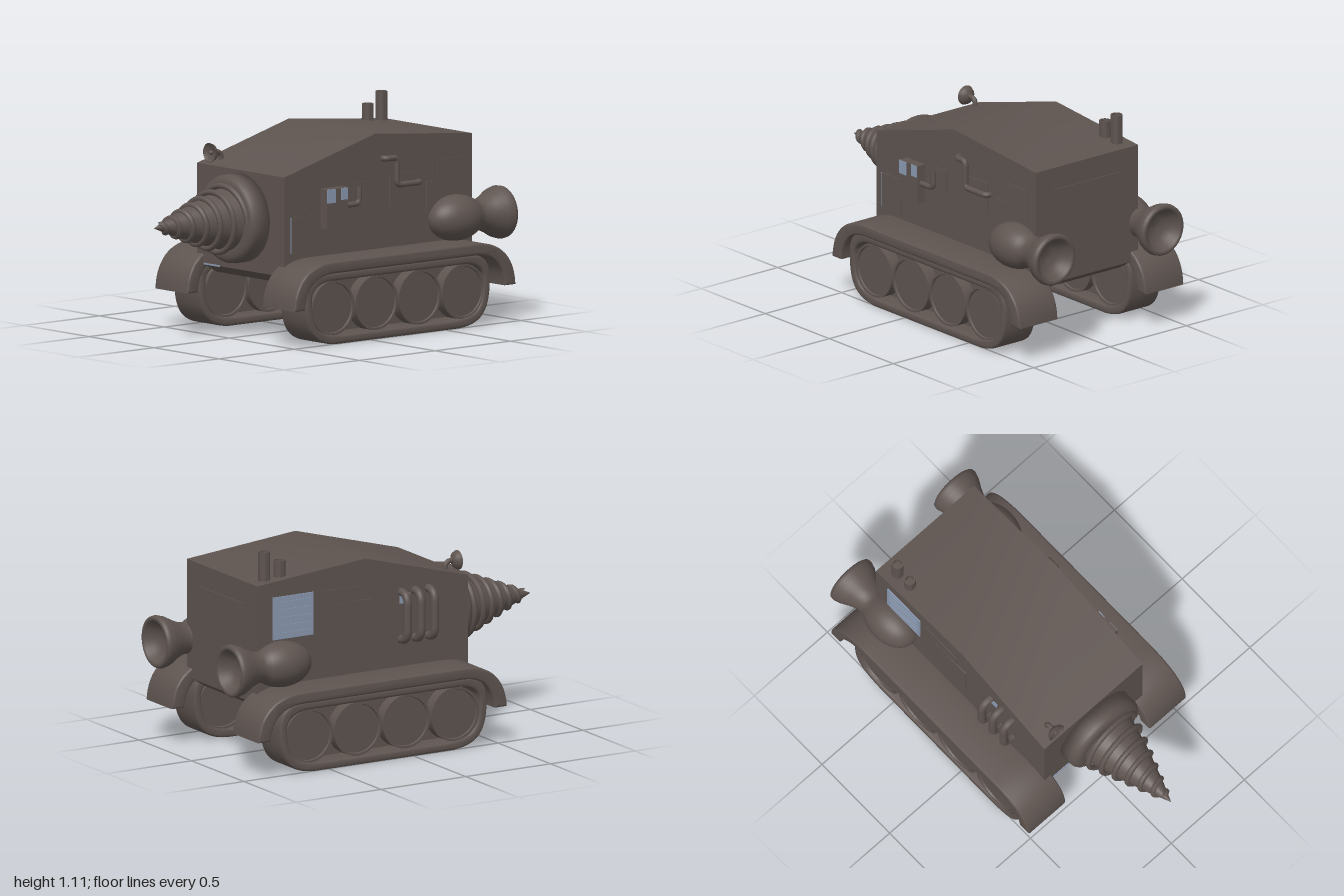
import * as THREE from 'three';
import { toCreasedNormals } from 'three/addons/utils/BufferGeometryUtils.js';

const V = (x, y, z) => new THREE.Vector3(x, y, z);
const P = (x, y) => new THREE.Vector2(x, y);

export function createModel() {
  const model = new THREE.Group();
  const iron = new THREE.MeshStandardMaterial({ color: 0x5e5450 });
  iron.name = 'dark iron';
  const steel = new THREE.MeshStandardMaterial({ color: 0x8a98b0 });
  steel.name = 'blue steel';

  const add = (name, geometry, material = iron, x = 0, y = 0, z = 0) => {
    const mesh = new THREE.Mesh(geometry, material);
    mesh.name = name;
    mesh.position.set(x, y, z);
    model.add(mesh);
    return mesh;
  };
  const box = (name, w, h, d, x, y, z, material) =>
    add(name, new THREE.BoxGeometry(w, h, d), material, x, y, z);

  // Side profile drawn in (z, y), extruded across x
  const slab = (name, shape, width, x, bevel = 0) => {
    let g = new THREE.ExtrudeGeometry(shape, {
      depth: width - 2 * bevel, curveSegments: 14, bevelEnabled: bevel > 0,
      bevelSize: bevel, bevelThickness: bevel, bevelOffset: -bevel, bevelSegments: 3,
    });
    g.translate(0, 0, bevel - width / 2);
    g.rotateY(-Math.PI / 2);
    return add(name, toCreasedNormals(g, 0.6), iron, x);
  };
  // Turned part whose axis runs along z
  const turned = (name, points, x, y) => {
    const g = new THREE.LatheGeometry(points, 40);
    g.rotateX(Math.PI / 2);
    return add(name, g, iron, x, y, 0);
  };
  // Pipe through corner points, with rounded bends
  const pipe = (name, pts, radius, bend) => {
    const path = new THREE.CurvePath();
    let last = pts[0];
    for (let i = 1; i < pts.length - 1; i++) {
      const a = pts[i].clone().add(pts[i - 1].clone().sub(pts[i]).setLength(bend));
      const b = pts[i].clone().add(pts[i + 1].clone().sub(pts[i]).setLength(bend));
      path.add(new THREE.LineCurve3(last, a));
      path.add(new THREE.QuadraticBezierCurve3(a, pts[i], b));
      last = b;
    }
    path.add(new THREE.LineCurve3(last, pts[pts.length - 1]));
    return add(name, new THREE.TubeGeometry(path, 60, radius, 12));
  };

  // Hull and the narrower chassis below it
  slab('hull', new THREE.Shape([
    P(0.425, 0.385), P(0.425, 0.85), P(-0.18, 1.015), P(-0.82, 0.955), P(-0.82, 0.385),
  ]), 0.67, 0);
  slab('chassis', new THREE.Shape([
    P(0.425, 0.345), P(0.425, 0.39), P(-0.82, 0.39), P(-0.82, 0.345), P(-0.74, 0.295), P(0.34, 0.295),
  ]), 0.57, 0);
  box('frontTrim', 0.12, 0.008, 0.006, -0.22, 0.345, 0.427, steel);

  // Drill: rounded collar, cone and a right-handed spiral ridge
  turned('drillCollar', [
    P(0, 0.42), P(0.225, 0.42), P(0.225, 0.49), P(0.222, 0.51), P(0.212, 0.525),
    P(0.195, 0.534), P(0.17, 0.537), P(0, 0.537),
  ], 0, 0.61);
  turned('drillCone', [P(0.162, 0.52), P(0.105, 0.72), P(0.045, 0.89), P(0, 1.0)], 0, 0.61);
  const spiral = [];
  for (let i = 0; i <= 150; i++) {
    const t = i / 150, a = t * Math.PI * 12.6, r = 0.166 * (1 - t) + 0.014;
    spiral.push(V(r * Math.cos(a), r * Math.sin(a), 0.535 + 0.425 * t));
  }
  add('drillSpiral', new THREE.TubeGeometry(new THREE.CatmullRomCurve3(spiral), 420, 0.015, 8), iron, 0, 0.61, 0);

  for (const s of [1, -1]) {
    // Fender: an arched band over the track
    const f = new THREE.Shape();
    f.moveTo(0.53, 0.2);
    f.bezierCurveTo(0.525, 0.33, 0.45, 0.43, 0.27, 0.43);
    f.lineTo(-0.67, 0.43);
    f.bezierCurveTo(-0.85, 0.43, -0.93, 0.33, -0.935, 0.2);
    f.lineTo(-0.865, 0.2);
    f.bezierCurveTo(-0.855, 0.3, -0.8, 0.37, -0.67, 0.37);
    f.lineTo(0.27, 0.37);
    f.bezierCurveTo(0.4, 0.37, 0.45, 0.3, 0.46, 0.2);
    slab('fender', f, 0.255, s * 0.4125, 0.01);

    // Track belt: rounded loop with a hole
    const loop = (path, e) => {
      const z0 = -0.79 + e, z1 = 0.43 - e, y0 = 0.005 + e, y1 = 0.37 - e;
      path.moveTo(z1, 0.24);
      path.bezierCurveTo(z1, y1 - 0.04, z1 - 0.04, y1, z1 - 0.14, y1);
      path.lineTo(z0 + 0.14, y1);
      path.bezierCurveTo(z0 + 0.04, y1, z0, y1 - 0.04, z0, 0.24);
      path.bezierCurveTo(z0, 0.08, z0 + 0.05, y0 + 0.01, z0 + 0.2, y0);
      path.lineTo(z1 - 0.2, y0);
      path.bezierCurveTo(z1 - 0.05, y0 + 0.01, z1, 0.08, z1, 0.24);
      return path;
    };
    const belt = loop(new THREE.Shape(), 0);
    belt.holes.push(loop(new THREE.Path(), 0.042));
    slab('trackBelt', belt, 0.205, s * 0.41, 0.012);
    box('trackFrame', 0.08, 0.26, 0.9, s * 0.4, 0.19, -0.185);

    // Road wheels with a slightly dished face
    for (let i = 0; i < 4; i++) {
      const g = new THREE.LatheGeometry([
        P(0, -0.085), P(0.125, -0.085), P(0.128, -0.094), P(0.14, -0.094),
        P(0.14, 0.094), P(0.128, 0.094), P(0.125, 0.085), P(0, 0.085),
      ], 36);
      g.rotateZ(Math.PI / 2);
      add('roadWheel', toCreasedNormals(g, 0.6), iron, s * 0.41, 0.19, 0.245 - i * 0.287);
    }

    // Booster: bulb and flared, hollow nozzle
    const nozzle = [
      P(0, -0.93), P(0.05, -0.935), P(0.085, -0.96), P(0.108, -0.994), P(0.12, -1.0), P(0.132, -0.993),
      P(0.135, -0.975), P(0.125, -0.94), P(0.1, -0.895), P(0.083, -0.855), P(0.08, -0.83),
    ];
    for (let i = 0; i <= 14; i++) {
      const a = 0.75 + (Math.PI - 0.75) * (i / 14);
      nozzle.push(P(0.117 * Math.sin(a), -0.69 - 0.165 * Math.cos(a)));
    }
    turned('booster', nozzle, s * 0.355, 0.542);
  }

  // Exhaust stacks with open tops
  for (const [z, top] of [[-0.735, 1.11], [-0.645, 1.055]]) {
    const g = new THREE.LatheGeometry([
      P(0.03, 0.93), P(0.03, top), P(0.022, top), P(0.022, top - 0.04), P(0, top - 0.04),
    ], 24);
    add('exhaustStack', toCreasedNormals(g, 0.6), iron, -0.265, 0, z);
  }

  // Head lamp on a bent stalk
  pipe('lampStalk', [V(-0.245, 0.83, 0.345), V(-0.245, 0.912, 0.345), V(-0.245, 0.912, 0.4)], 0.013, 0.035);
  turned('lampDish', [
    P(0, 0.385), P(0.02, 0.387), P(0.042, 0.402), P(0.05, 0.42), P(0.046, 0.421), P(0.034, 0.407), P(0, 0.4),
  ], -0.245, 0.91);
  add('lampBulb', new THREE.SphereGeometry(0.012, 16, 12), iron, -0.245, 0.91, 0.41);

  // Left side: control box, pipes and plates
  box('controlBox', 0.055, 0.2, 0.14, 0.358, 0.67, 0.115);
  box('controlBoxWindow', 0.004, 0.07, 0.055, 0.386, 0.735, 0.157, steel);
  box('controlBoxWindow', 0.004, 0.06, 0.045, 0.386, 0.74, 0.07, steel);
  pipe('shortPipe', [V(0.36, 0.675, 0.06), V(0.36, 0.675, -0.05), V(0.36, 0.765, -0.05)], 0.014, 0.03);
  pipe('steppedPipe', [
    V(0.32, 0.885, -0.225), V(0.36, 0.885, -0.225), V(0.36, 0.885, -0.3),
    V(0.36, 0.745, -0.3), V(0.36, 0.745, -0.46), V(0.32, 0.745, -0.46),
  ], 0.015, 0.025);
  for (const [z, y, d, h] of [
    [0.305, 0.545, 0.15, 0.19], [-0.08, 0.72, 0.1, 0.12], [-0.36, 0.72, 0.18, 0.16],
    [-0.6, 0.66, 0.17, 0.16], [-0.675, 0.76, 0.17, 0.17],
  ]) box('sidePlate', 0.008, h, d, 0.336, y, z);
  box('plateEdge', 0.006, 0.18, 0.004, 0.337, 0.55, 0.382, steel);

  // Right side: grab handles, louvred vent and plates
  for (const z of [0.03, 0.11, 0.19]) {
    pipe('grabHandle', [V(-0.32, 0.815, z), V(-0.398, 0.815, z), V(-0.398, 0.57, z), V(-0.32, 0.57, z)], 0.021, 0.06);
  }
  box('handlePlate', 0.006, 0.05, 0.06, -0.336, 0.78, 0.05, steel);
  box('vent', 0.009, 0.22, 0.24, -0.337, 0.775, -0.61, steel);
  for (let i = 0; i < 5; i++) box('ventSlat', 0.006, 0.006, 0.2, -0.342, 0.695 + i * 0.04, -0.61, steel);
  box('sidePlate', 0.006, 0.22, 0.23, -0.336, 0.77, -0.335);
  box('sidePlate', 0.01, 0.25, 0.22, -0.337, 0.68, -0.26);

  // Rear hatch
  box('rearHatch', 0.44, 0.44, 0.008, 0, 0.62, -0.821);

  return model;
}
